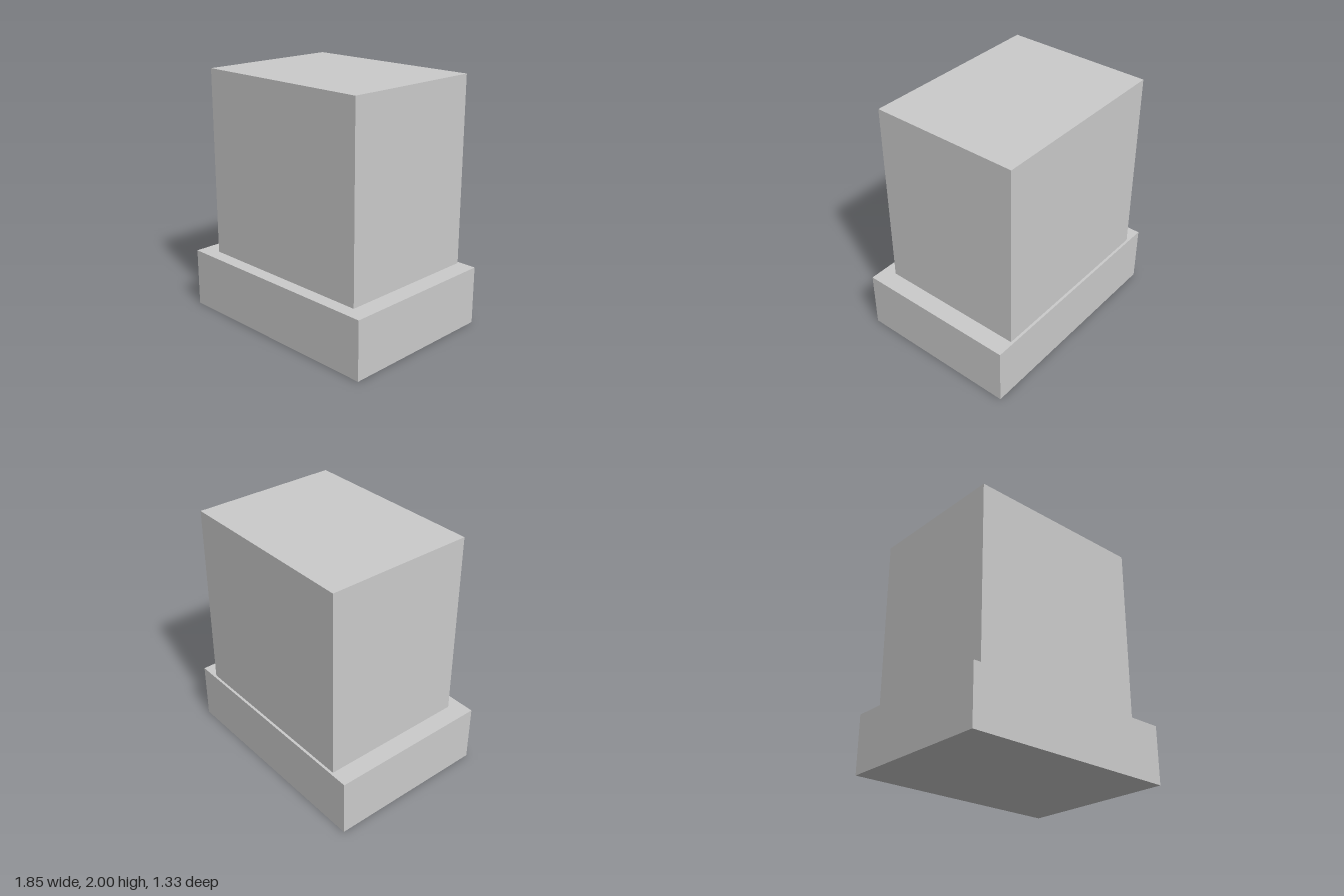
import * as THREE from 'three';

export function createModel() {
  const group = new THREE.Group();
  const material = new THREE.MeshStandardMaterial({ color: 0xcccccc, flatShading: true });

  // Box resting on height y
  const addBlock = (name, width, height, depth, y, z) => {
    const mesh = new THREE.Mesh(new THREE.BoxGeometry(width, height, depth), material);
    mesh.name = name;
    mesh.position.set(0, y + height / 2, z);
    group.add(mesh);
  };

  const baseHeight = 0.476;

  // Wide low base
  addBlock('base', 1.848, baseHeight, 1.332, 0, 0);
  // Tall block, set towards the back of the base
  addBlock('upperBlock', 1.545, 2 - baseHeight, 1.202, baseHeight, -0.044);

  return group;
}
